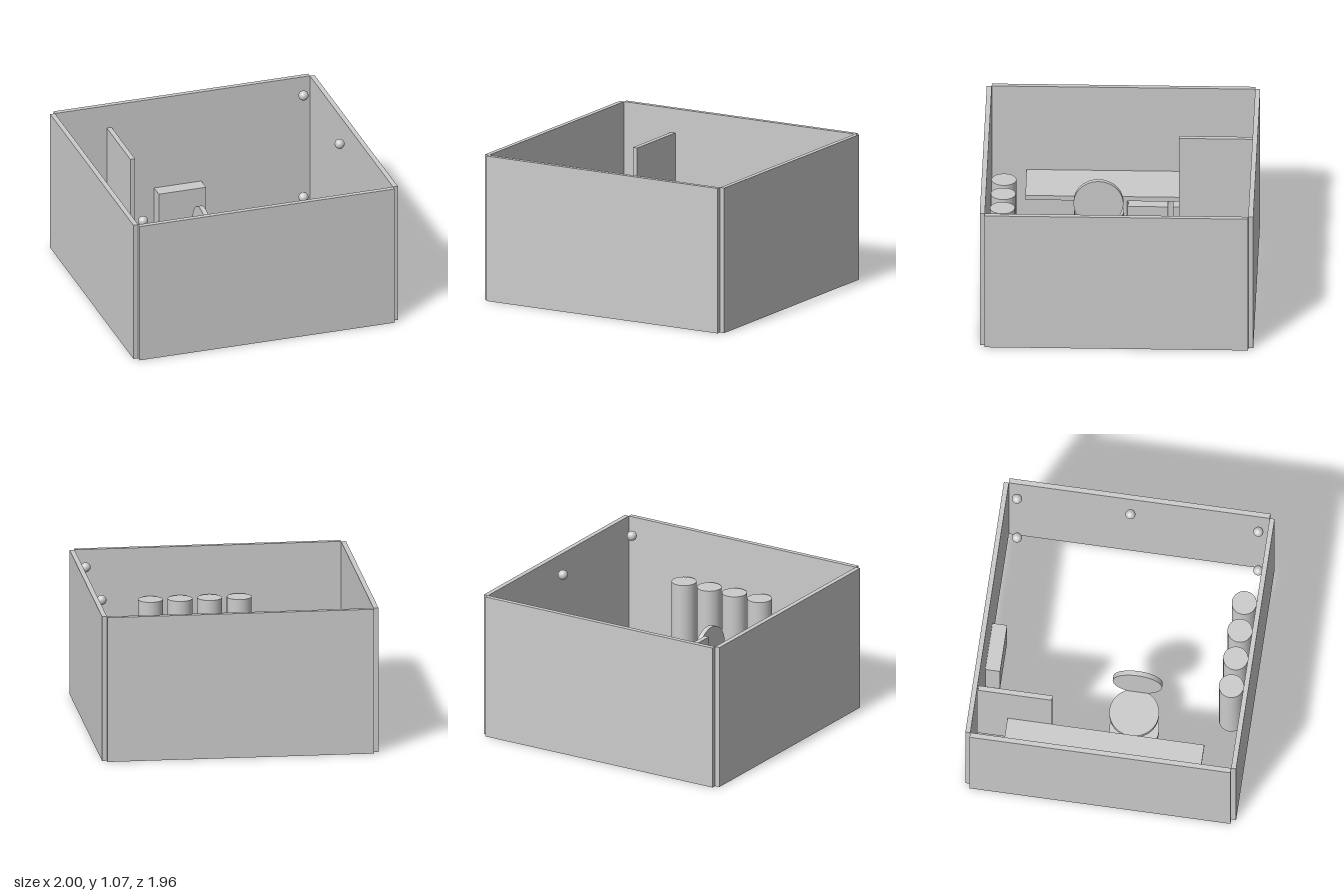
import * as THREE from 'three';

export function createModel() {
  const model = new THREE.Group();
  const material = new THREE.MeshStandardMaterial({ color: 0xcccccc });
  const H = 1.071, T = 0.036;

  function add(parent, name, geometry, x, y, z) {
    const mesh = new THREE.Mesh(geometry, material);
    mesh.name = name;
    mesh.position.set(x, y, z);
    parent.add(mesh);
    return mesh;
  }

  // Box given by its extents along each axis
  function block(parent, name, [x0, x1], [y0, y1], [z0, z1]) {
    return add(parent, name, new THREE.BoxGeometry(x1 - x0, y1 - y0, z1 - z0),
      (x0 + x1) / 2, (y0 + y1) / 2, (z0 + z1) / 2);
  }

  function group(name) {
    const g = new THREE.Group();
    g.name = name;
    model.add(g);
    return g;
  }

  // Four outer walls, open above and below
  const walls = group('walls');
  for (const s of [-1, 1]) {
    add(walls, s < 0 ? 'rightWall' : 'leftWall', new THREE.BoxGeometry(T, H, 1.893), s * 0.982, H / 2, 0);
    add(walls, s < 0 ? 'backWall' : 'frontWall', new THREE.BoxGeometry(1.929, H, T), 0, H / 2, s * 0.964);
  }

  // Partition beside the desk and low cabinet on the back wall
  block(model, 'partition', [-0.572, -0.536], [0, 0.893], [-0.946, -0.411]);
  block(model, 'cabinet', [-0.214, 0.143], [0, 0.357], [-0.946, -0.839]);

  // Long desk with one central support
  const desk = group('desk');
  block(desk, 'deskTop', [-0.964, -0.572], [0.357, 0.393], [-0.733, 0.695]);
  block(desk, 'deskSupport', [-0.964, -0.572], [0, 0.357], [-0.037, -0.001]);

  // Two boxes stored under the desk
  for (const z of [-0.323, -0.644]) {
    block(model, 'storageBox', [-0.964, -0.821], [0, 0.179], [z, z + 0.286]);
  }

  // Chair with round base, seat and backrest
  const chair = group('chair');
  const disc = new THREE.CylinderGeometry(0.179, 0.179, T, 48);
  add(chair, 'chairBase', disc, -0.393, 0.018, 0.16);
  add(chair, 'chairSeat', disc, -0.393, 0.357, 0.16);
  add(chair, 'chairPost', new THREE.BoxGeometry(0.071, 0.31, 0.071), -0.393, 0.187, 0.16);
  add(chair, 'chairBackrest', disc, -0.216, 0.536, 0.16).rotation.z = Math.PI / 2;

  // Row of upright tanks along the front wall
  const tank = new THREE.CylinderGeometry(0.0893, 0.0893, 0.714, 40);
  for (let i = 0; i < 4; i++) add(model, 'tank', tank, -0.214 + i * 0.214, 0.357, 0.839);

  // Small balls near the walls, at low and high level
  const ball = new THREE.SphereGeometry(0.036, 24, 16);
  const low = 0.143, high = 0.957;
  for (const [x, y, z] of [
    [-0.321, low, -0.877],
    [0.893, low, -0.877], [0.893, high, -0.877],
    [0.893, high, -0.054],
    [0.893, low, 0.874], [0.893, high, 0.874],
  ]) add(model, 'wallBall', ball, x, y, z);

  return model;
}
